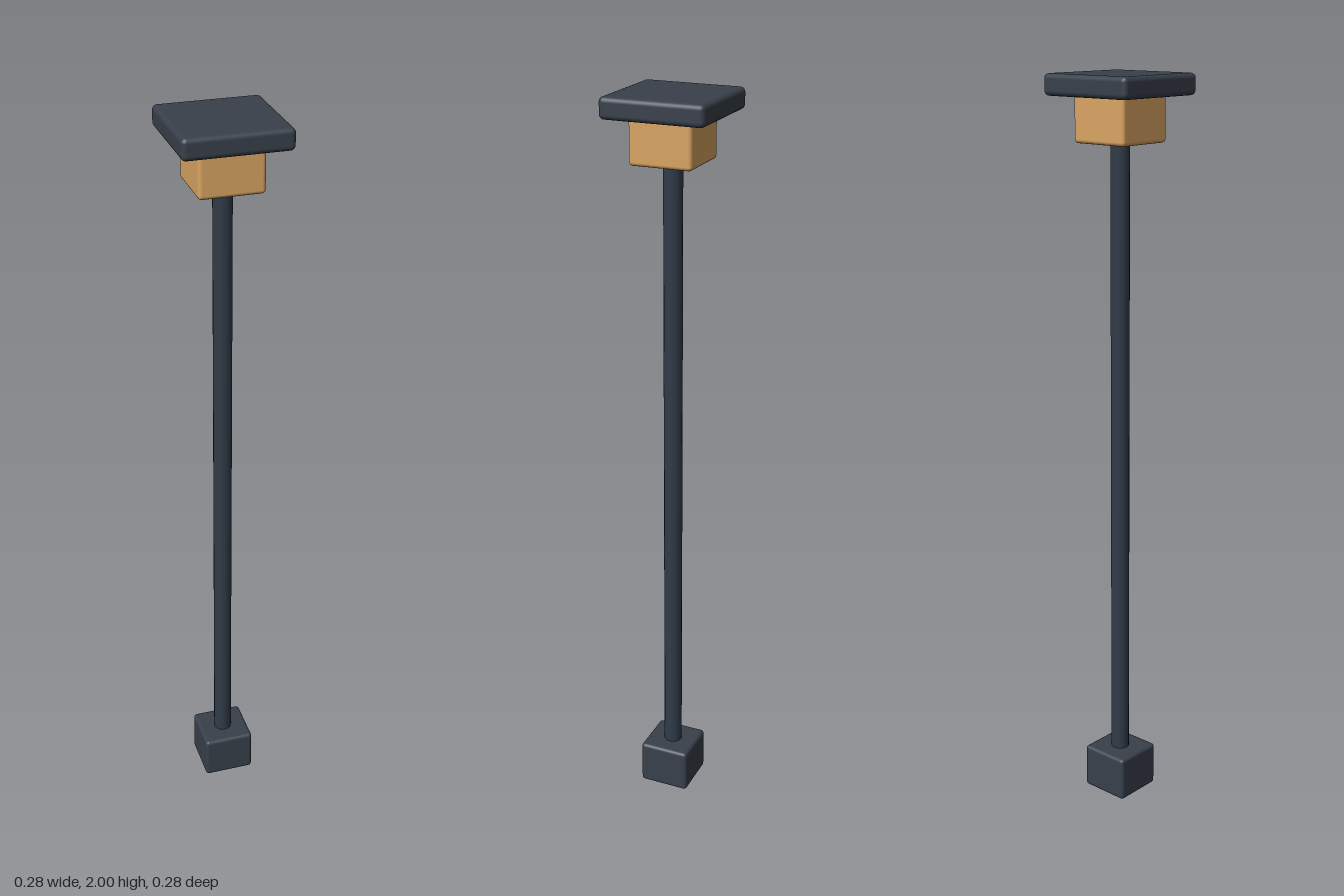
import * as THREE from 'three';
import { RoundedBoxGeometry } from 'three/addons/geometries/RoundedBoxGeometry.js';

export function createModel() {
  const group = new THREE.Group();
  group.name = 'lampPost';

  const material = (name, color) => {
    const m = new THREE.MeshStandardMaterial({ color });
    m.name = name;
    return m;
  };
  const iron = material('darkIron', 0x38404b);
  const poleSteel = material('poleSteel', 0x303b48);
  const amber = material('amberGlass', 0xd9a562);

  const add = (name, geometry, mat, y) => {
    const mesh = new THREE.Mesh(geometry, mat);
    mesh.name = name;
    mesh.position.y = y;
    group.add(mesh);
  };
  // Square block with softened edges, standing between two heights
  const block = (name, width, bottom, top, radius, mat) =>
    add(name, new RoundedBoxGeometry(width, top - bottom, width, 3, radius), mat, (bottom + top) / 2);

  block('base', 0.142, 0, 0.125, 0.01, iron);
  block('lantern', 0.168, 1.828, 1.95, 0.01, amber);
  block('cap', 0.276, 1.945, 2, 0.013, iron);

  // Slim round pole from the base into the lantern
  const bottom = 0.06, top = 1.85;
  add('pole', new THREE.CylinderGeometry(0.025, 0.025, top - bottom, 16), poleSteel, (bottom + top) / 2);

  return group;
}
